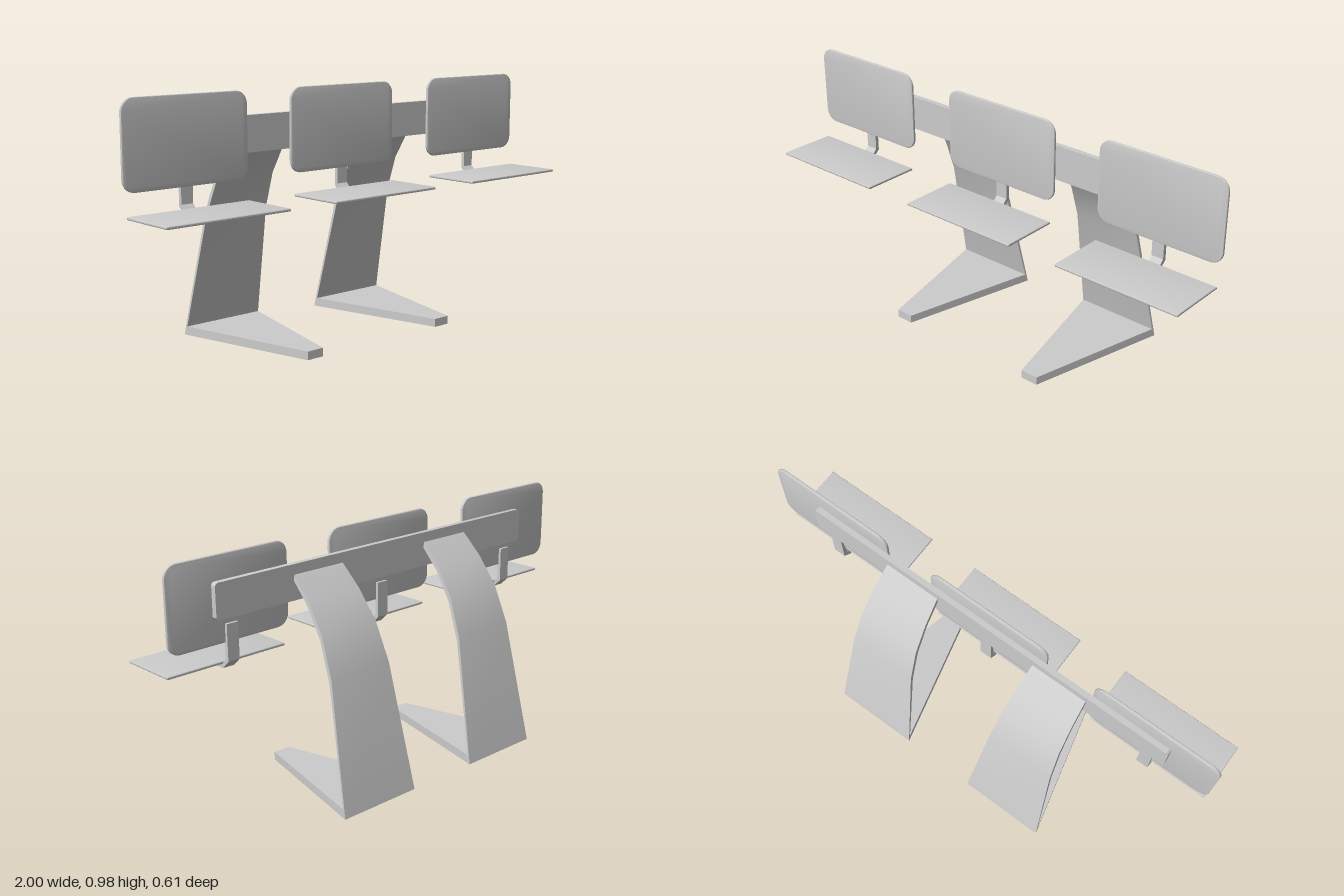
import * as THREE from 'three';
import { toCreasedNormals } from 'three/addons/utils/BufferGeometryUtils.js';

const material = new THREE.MeshStandardMaterial({ color: 0xcccccc });

function mesh(name, geometry) {
  const m = new THREE.Mesh(toCreasedNormals(geometry, 0.6), material);
  m.name = name;
  return m;
}

// Rounded plate centred on the origin, lying in xy, with softened edges
function plate(w, h, thick, radius, bevel) {
  const x = w / 2 - bevel, y = h / 2 - bevel, r = radius;
  const s = new THREE.Shape();
  s.moveTo(-x + r, -y);
  s.lineTo(x - r, -y);
  if (r) s.absarc(x - r, -y + r, r, -Math.PI / 2, 0);
  s.lineTo(x, y - r);
  if (r) s.absarc(x - r, y - r, r, 0, Math.PI / 2);
  s.lineTo(-x + r, y);
  if (r) s.absarc(-x + r, y - r, r, Math.PI / 2, Math.PI);
  s.lineTo(-x, -y + r);
  if (r) s.absarc(-x + r, -y + r, r, Math.PI, Math.PI * 1.5);
  const t = bevel * 0.6;
  const g = new THREE.ExtrudeGeometry(s, {
    depth: thick - 2 * t, curveSegments: 6, bevelEnabled: bevel > 0,
    bevelSize: bevel, bevelThickness: t, bevelSegments: 2,
  });
  return g.translate(0, 0, -(thick - 2 * t) / 2);
}

// Side profile given as [z, y], swept across x from -width/2 to width/2
function sideProfile(points, width) {
  const s = new THREE.Shape(points.map(([z, y]) => new THREE.Vector2(-z, y)));
  const g = new THREE.ExtrudeGeometry(s, { depth: width, bevelEnabled: false });
  return g.translate(0, 0, -width / 2).rotateY(Math.PI / 2);
}

// Foot and curved upright in one bent sheet, tapering both ways from the heel
function standGeometry() {
  const g = sideProfile([
    [0.278, 0], [0.278, 0.033], [-0.29, 0.035],
    [-0.19, 0.49], [-0.132, 0.637], [-0.055, 0.75], [0.025, 0.828],
    [0.025, 0.852], [-0.062, 0.765], [-0.141, 0.655], [-0.2, 0.505], [-0.305, 0],
  ], 2);
  const p = g.attributes.position;
  for (let i = 0; i < p.count; i++) {
    const y = p.getY(i), z = p.getZ(i);
    const half = y < 0.04 ? 0.18 - 0.245 * (z + 0.305) : 0.18 - 0.072 * y;
    p.setX(i, p.getX(i) * half);
  }
  g.computeVertexNormals();
  return g;
}

export function createModel() {
  const model = new THREE.Group();

  // Two stands carrying the cross beam
  for (const side of [-1, 1]) {
    const stand = mesh(side < 0 ? 'rightStand' : 'leftStand', standGeometry());
    stand.position.x = side * 0.338;
    model.add(stand);
  }
  const beam = mesh('crossBeam', plate(1.62, 0.138, 0.022, 0.014, 0));
  beam.position.set(0, 0.821, 0.034);
  model.add(beam);

  // Three stations: screen, bent bracket and shelf
  ['rightStation', 'middleStation', 'leftStation'].forEach((name, i) => {
    const station = new THREE.Group();
    station.name = name;
    station.position.x = (i - 1) * 0.735;

    const screen = mesh('screen', plate(0.53, 0.325, 0.013, 0.045, 0.005));
    screen.position.set(0, 0.82, 0.0515);

    const bracket = mesh('bracket', sideProfile([
      [0.049, 0.728], [0.034, 0.728], [0.034, 0.587], [0.068, 0.555],
      [0.18, 0.555], [0.18, 0.57], [0.073, 0.57], [0.049, 0.594],
    ], 0.05));

    const shelf = mesh('shelf', plate(0.52, 0.24, 0.012, 0, 0.006));
    shelf.rotation.x = -Math.PI / 2;
    shelf.position.set(0, 0.576, 0.188);

    station.add(screen, bracket, shelf);
    model.add(station);
  });
  return model;
}
